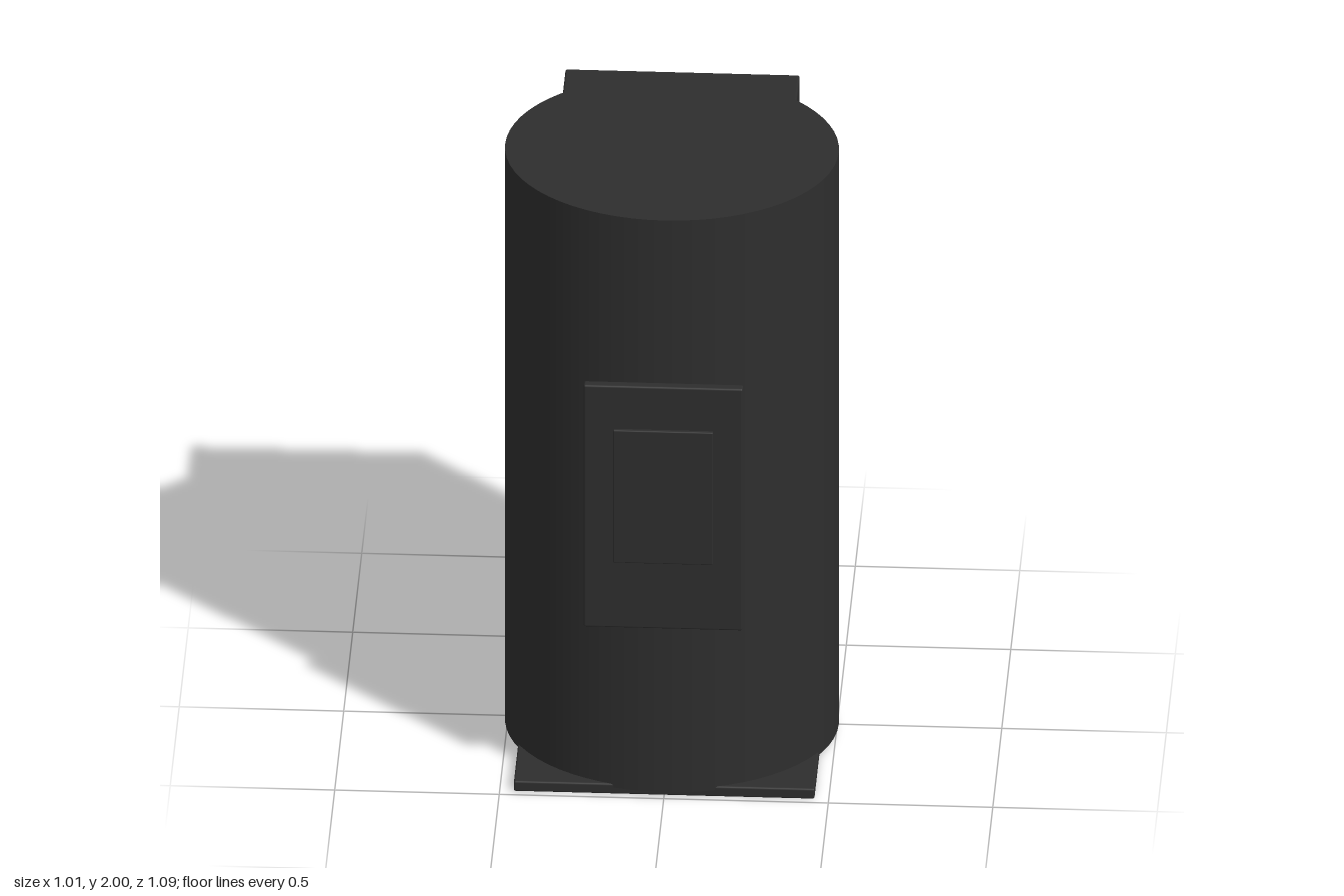
import * as THREE from 'three';
import { RoundedBoxGeometry } from 'three/addons/geometries/RoundedBoxGeometry.js';

export function createModel() {
  const model = new THREE.Group();
  model.name = 'cylindricalCabinet';

  const charcoal = new THREE.MeshStandardMaterial({ color: 0x2e2e2e });
  charcoal.name = 'charcoal';

  // Softly rounded box given by its extents; all boxes are centred on x = 0
  function addBox(name, halfWidth, [y0, y1], [z0, z1], radius) {
    const geometry = new RoundedBoxGeometry(halfWidth * 2, y1 - y0, z1 - z0, 2, radius);
    const mesh = new THREE.Mesh(geometry, charcoal);
    mesh.name = name;
    mesh.position.set(0, (y0 + y1) / 2, (z0 + z1) / 2);
    model.add(mesh);
  }

  // Slightly oval upright body
  const bodyGeometry = new THREE.CylinderGeometry(1, 1, 1.977, 64);
  bodyGeometry.scale(0.507, 1, 0.459);
  const body = new THREE.Mesh(bodyGeometry, charcoal);
  body.name = 'body';
  body.position.set(0, 0.023 + 1.977 / 2, 0.042);
  model.add(body);

  // Floor plate, rear housing and the stepped front panel
  addBox('basePlate', 0.457, [0, 0.035], [-0.504, 0.479], 0.006);
  addBox('rearHousing', 0.356, [0.143, 1.943], [-0.547, -0.284], 0.007);
  addBox('frontPanel', 0.242, [0.606, 1.441], [0.503, 0.535], 0.006);
  addBox('frontPanelInset', 0.152, [0.836, 1.294], [0.515, 0.546], 0.004);

  return model;
}
